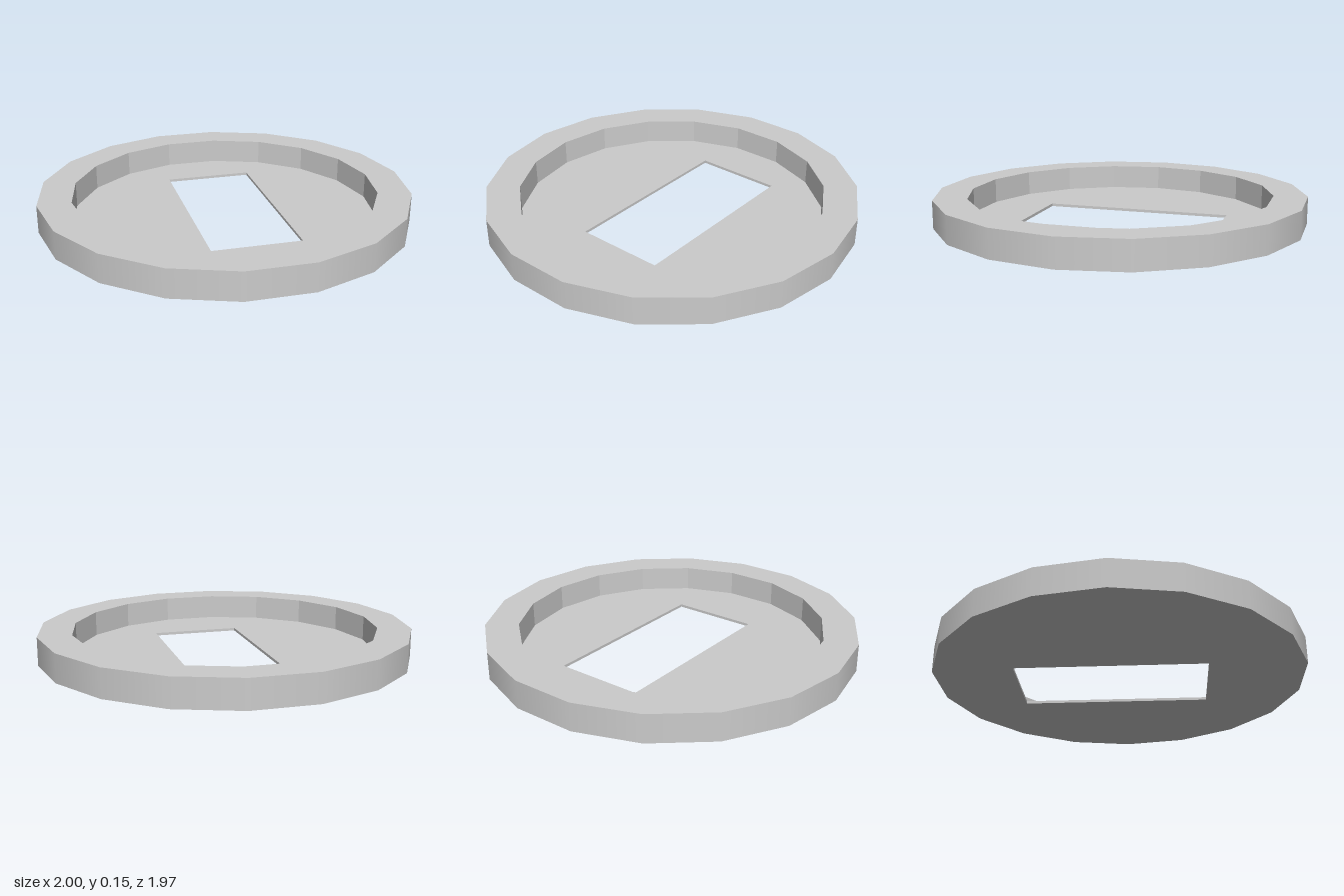
import * as THREE from 'three';

const SIDES = 18, OUTER = 1, INNER = 0.82, HEIGHT = 0.15, FLOOR = 0.015;

// Outlines as [x, z] points, all running from +x towards +z
const ring = (r) => Array.from({ length: SIDES }, (_, i) => {
  const a = (i / SIDES) * Math.PI * 2;
  return [r * Math.cos(a), r * Math.sin(a)];
});
const slot = [[0.285, -0.55], [0.285, 0.475], [-0.195, 0.475], [-0.195, -0.55]];

// Flat horizontal face with a hole, facing up (1) or down (-1)
function cap(outline, hole, y, facing) {
  const flat = (points) => points.map(([x, z]) => new THREE.Vector2(x, -facing * z));
  const shape = new THREE.Shape(flat(outline));
  shape.holes.push(new THREE.Path(flat(hole)));
  return new THREE.ShapeGeometry(shape).rotateX(-facing * Math.PI / 2).translate(0, y, 0);
}

// Faceted vertical wall facing the inside of an outline
function inwardWall(outline, y0, y1) {
  const positions = [];
  outline.forEach(([ax, az], i) => {
    const [bx, bz] = outline[(i + 1) % outline.length];
    positions.push(ax, y0, az, bx, y0, bz, bx, y1, bz);
    positions.push(ax, y0, az, bx, y1, bz, ax, y1, az);
  });
  const geometry = new THREE.BufferGeometry();
  geometry.setAttribute('position', new THREE.Float32BufferAttribute(positions, 3));
  geometry.computeVertexNormals();
  return geometry;
}

export function createModel() {
  const group = new THREE.Group();
  group.name = 'slottedDish';
  const material = new THREE.MeshStandardMaterial({ color: 0xcccccc });
  const add = (name, geometry) => {
    const mesh = new THREE.Mesh(geometry, material);
    mesh.name = name;
    group.add(mesh);
  };

  // Raised rim: smooth outside, faceted inside
  const outside = new THREE.CylinderGeometry(OUTER, OUTER, HEIGHT, SIDES, 1, true, Math.PI / 2);
  add('rimOutside', outside.translate(0, HEIGHT / 2, 0));
  add('rimTop', cap(ring(OUTER), ring(INNER), HEIGHT, 1));
  add('rimInside', inwardWall(ring(INNER), FLOOR, HEIGHT));

  // Thin floor with an off-centre rectangular slot
  add('floorTop', cap(ring(INNER), slot, FLOOR, 1));
  add('underside', cap(ring(OUTER), slot, 0, -1));
  add('slotEdges', inwardWall(slot, 0, FLOOR));

  return group;
}
